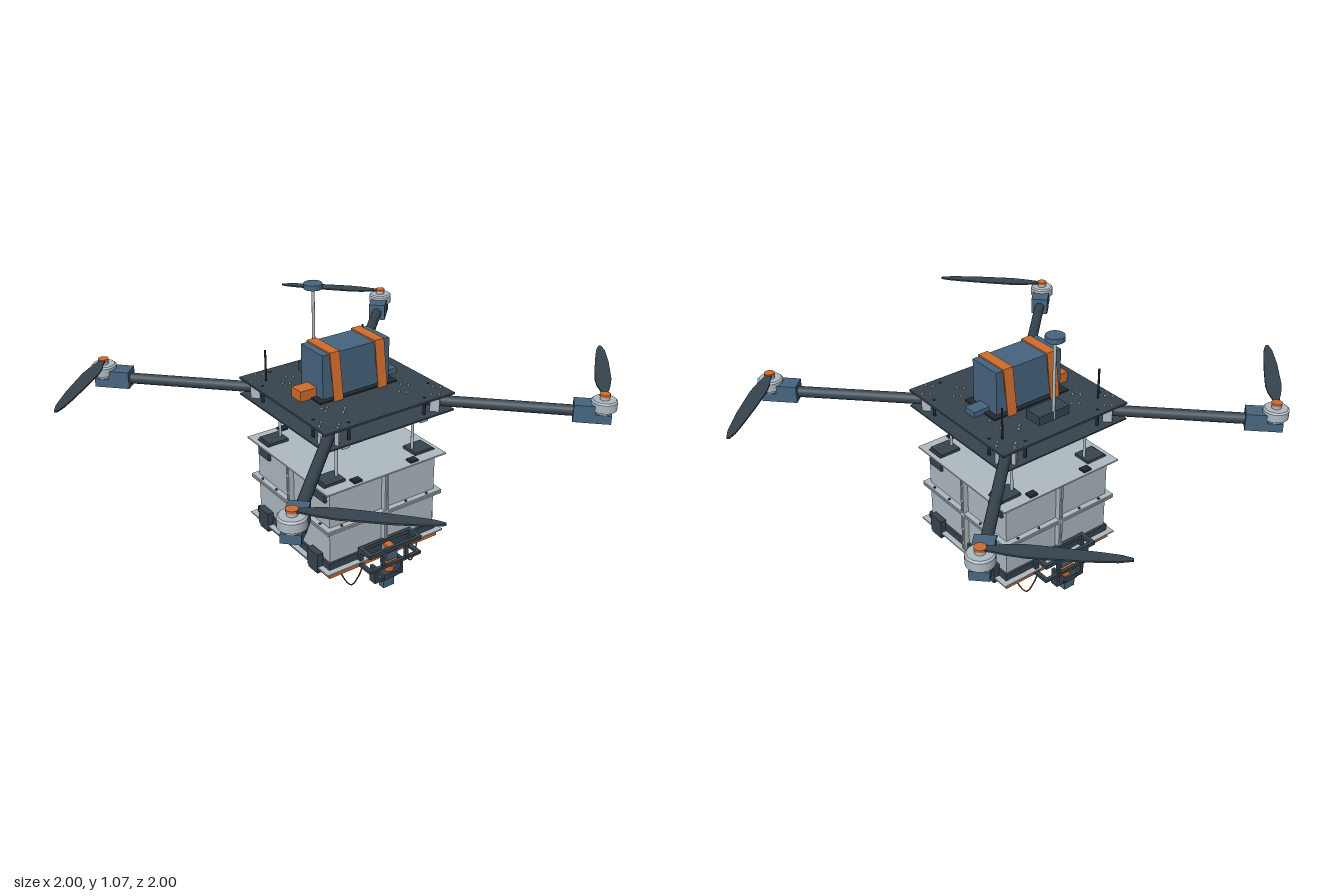
import * as THREE from 'three';

const mat = (name, color, side = THREE.FrontSide) => {
  const m = new THREE.MeshStandardMaterial({ color, side });
  m.name = name;
  return m;
};
const DARK = mat('carbon', 0x37444e);
const BLUE = mat('slateBlue', 0x46657f);
const ORANGE = mat('orange', 0xd06c2c);
const GREY = mat('lightGrey', 0xafbbc2);
const WIRE = mat('copperWire', 0x8a4a2c);
const BLACK = mat('black', 0x222a31);

export function createModel() {
  const root = new THREE.Group();
  root.name = 'deliveryDrone';
  const ends = [-1, 1];

  const add = (name, geo, m, x, y, z, parent = root) => {
    const mesh = new THREE.Mesh(geo, m);
    mesh.name = name;
    mesh.position.set(x, y, z);
    parent.add(mesh);
    return mesh;
  };
  const box = (name, m, w, h, d, x, y, z, parent) =>
    add(name, new THREE.BoxGeometry(w, h, d), m, x, y, z, parent);
  const cyl = (name, m, r, h, x, y, z, parent, sides = 20) =>
    add(name, new THREE.CylinderGeometry(r, r, h, sides), m, x, y, z, parent);
  const group = (name) => {
    const g = new THREE.Group();
    g.name = name;
    root.add(g);
    return g;
  };

  // Upper and lower centre plates
  box('topPlate', DARK, 0.58, 0.008, 0.58, 0, 0.731, 0);
  box('bottomPlate', DARK, 0.58, 0.006, 0.58, 0, 0.664, 0);

  // Propeller blade outline, root at the origin and tip along +x
  const outline = [[-0.012, 0.012], [0.03, 0.014], [0.08, 0.027], [0.13, 0.032], [0.24, 0.028],
    [0.36, 0.02], [0.42, 0.014], [0.455, 0.004], [0.455, -0.006], [0.41, -0.018],
    [0.3, -0.027], [0.14, -0.029], [0.08, -0.022], [0.03, -0.012], [-0.012, -0.012]];
  const bladeGeo = new THREE.ExtrudeGeometry(
    new THREE.Shape(outline.map(([x, y]) => new THREE.Vector2(x, y))),
    { depth: 0.006, bevelEnabled: false });
  bladeGeo.rotateX(-Math.PI / 2);

  // Motor bell profile
  const motorGeo = new THREE.LatheGeometry(
    [[0, 0], [0.032, 0], [0.034, 0.012], [0.048, 0.014], [0.048, 0.046], [0.042, 0.052], [0.018, 0.052],
      [0.018, 0.064], [0, 0.064]].flatMap(([r, y]) => {
      const p = new THREE.Vector2(r, y);
      return [p, p.clone()];
    }), 28);

  // Four arms; each is laid along its own +x and turned to a corner
  for (let i = 0; i < 4; i++) {
    const arm = group('arm');
    arm.rotation.y = Math.PI / 4 + i * Math.PI / 2;
    const tube = cyl('armTube', DARK, 0.021, 0.69, 0.545, 0.697, 0, arm);
    tube.rotation.z = Math.PI / 2;
    for (const r of [0.22, 0.34]) {
      for (const s of ends) {
        box('armClamp', GREY, 0.035, 0.058, 0.016, r, 0.697, s * 0.03, arm);
        for (const dx of [-0.014, 0.014])
          cyl('plateScrew', GREY, 0.005, 0.084, r + dx, 0.699, s * 0.032, arm, 8);
      }
    }
    box('motorClamp', BLUE, 0.08, 0.068, 0.07, 0.882, 0.7, 0, arm);
    box('motorBase', BLUE, 0.08, 0.034, 0.066, 0.94, 0.682, 0, arm);
    add('motor', motorGeo, GREY, 0.95, 0.699, 0, arm);
    // The blades sit square to the arm, all swept the same way for opposite corners
    const blade = add('propeller', bladeGeo, DARK, 0.95, 0.763, 0, arm);
    blade.rotation.y = -Math.PI / 2;
    cyl('propellerCap', ORANGE, 0.02, 0.009, 0.95, 0.768, 0, arm);
    // Blade directions alternate around the frame
    if (i === 0 || i === 2) blade.rotation.y = Math.PI / 2;
    if (i === 3) blade.rotation.y = Math.PI / 2;
    if (i === 1) blade.rotation.y = Math.PI / 2;
  }

  // Spacers and screws along the plate edges
  for (const sx of ends) for (const sz of ends) {
    cyl('spacer', BLACK, 0.006, 0.076, sx * 0.26, 0.699, sz * 0.17, root, 8);
    cyl('spacer', BLACK, 0.006, 0.076, sx * 0.17, 0.699, sz * 0.26, root, 8);
    for (const z of [0.08, 0.12])
      cyl('edgeScrew', GREY, 0.005, 0.006, sx * 0.19, 0.736, sz * z, root, 8);
  }

  // Battery on its tray, held by two flared straps
  box('batteryTray', BLACK, 0.35, 0.006, 0.18, 0, 0.738, 0);
  box('battery', BLUE, 0.3, 0.176, 0.14, 0, 0.825, 0);
  const strap = new THREE.Shape();
  [[-0.1, 0.736], [-0.075, 0.919], [0.075, 0.919], [0.1, 0.736],
    [0.096, 0.736], [0.071, 0.913], [-0.071, 0.913], [-0.096, 0.736]]
    .forEach(([z, y], i) => (i ? strap.lineTo(z, y) : strap.moveTo(z, y)));
  const strapGeo = new THREE.ExtrudeGeometry(strap, { depth: 0.042, bevelEnabled: false });
  strapGeo.translate(0, 0, -0.021).rotateY(Math.PI / 2);
  for (const s of ends) add('batteryStrap', strapGeo, ORANGE, s * 0.1, 0, 0);

  // Electronics around the battery
  box('receiver', ORANGE, 0.07, 0.04, 0.06, -0.185, 0.755, 0);
  box('powerModule', BLUE, 0.07, 0.022, 0.055, 0.185, 0.746, 0);
  box('flightController', DARK, 0.14, 0.036, 0.075, 0, 0.752, -0.178);
  cyl('mast', GREY, 0.006, 0.33, 0, 0.898, -0.21, root, 12);
  cyl('mastPuck', BLUE, 0.036, 0.02, 0, 1.064, -0.21);
  for (const s of ends) cyl('antenna', BLACK, 0.004, 0.125, s * 0.225, 0.797, -0.2, root, 8);

  // Rails under the frame, with clamps and hanger rods down to the crate
  for (const sx of ends) {
    box('rail', GREY, 0.034, 0.026, 0.51, sx * 0.178, 0.643, 0);
    for (const sz of ends) {
      box('railClamp', DARK, 0.068, 0.046, 0.046, sx * 0.178, 0.642, sz * 0.1);
      cyl('hangerRod', GREY, 0.006, 0.18, sx * 0.176, 0.56, sz * 0.19, root, 10);
    }
  }

  // Crate with flanged seams
  box('crateBody', GREY, 0.49, 0.34, 0.49, 0, 0.304, 0);
  box('topFlange', GREY, 0.55, 0.006, 0.55, 0, 0.476, 0);
  for (const dy of [-0.005, 0.005]) box('middleFlange', GREY, 0.534, 0.007, 0.534, 0, 0.307 + dy, 0);
  box('bottomFlange', GREY, 0.55, 0.006, 0.55, 0, 0.132, 0);
  box('bottomBand', DARK, 0.508, 0.028, 0.508, 0, 0.151, 0);
  for (const s of [-0.005, 0.005]) {
    box('sideSeam', GREY, 0.534, 0.34, 0.007, 0, 0.304, s);
    box('frontSeam', GREY, 0.007, 0.34, 0.534, s, 0.304, 0);
  }
  for (const s of ends) for (const p of [-0.2, -0.1, 0.1, 0.2]) {
    cyl('flangeBolt', DARK, 0.005, 0.026, p, 0.307, s * 0.257, root, 8);
    cyl('flangeBolt', DARK, 0.005, 0.026, s * 0.257, 0.307, p, root, 8);
  }

  // Corner brackets, door hinges and lid catches
  for (const sx of ends) for (const sz of ends) {
    box('hangerFoot', DARK, 0.085, 0.012, 0.076, sx * 0.205, 0.484, sz * 0.19);
    box('hangerPlate', DARK, 0.012, 0.066, 0.076, sx * 0.25, 0.45, sz * 0.19);
    box('hingeUpper', DARK, 0.026, 0.075, 0.07, sx * 0.264, 0.152, sz * 0.175);
    box('hingeLower', DARK, 0.05, 0.012, 0.06, sx * 0.25, 0.11, sz * 0.175);
    box('lidCatch', BLACK, 0.036, 0.01, 0.03, sx * 0.13, 0.482, sz * 0.25);
  }

  // Two drop doors with raised rims
  for (const s of ends) {
    const door = group('dropDoor');
    door.position.set(s * 0.131, 0.12, 0);
    box('doorPanel', ORANGE, 0.252, 0.014, 0.52, 0, 0, 0, door);
    for (const e of ends) {
      box('doorRimSide', ORANGE, 0.014, 0.01, 0.52, e * 0.119, -0.011, 0, door);
      box('doorRimEnd', ORANGE, 0.224, 0.01, 0.014, 0, -0.011, e * 0.253, door);
    }
    for (const x of [0.05, 0.15]) {
      box('doorLatch', BLACK, 0.022, 0.02, 0.06, s * (x - 0.1), -0.014, 0, door);
      box('latchPad', BLACK, 0.045, 0.008, 0.026, s * (x - 0.1), -0.01, 0, door);
    }
  }

  // Release unit and camera, at the front and mirrored at the back
  for (const s of ends) {
    const unit = group('releaseUnit');
    const part = (name, m, w, h, d, x, y, z) => box(name, m, w, h, d, x, y, s * z, unit);
    for (const z of [0.262, 0.324]) part('frameTopBar', DARK, 0.246, 0.016, 0.014, 0, 0.182, z);
    for (const x of [-0.115, 0.115]) {
      part('frameSideBar', DARK, 0.016, 0.016, 0.07, x, 0.182, 0.293);
      part('framePost', DARK, 0.016, 0.075, 0.014, x, 0.146, 0.262);
      part('frameFoot', DARK, 0.016, 0.012, 0.07, x, 0.114, 0.293);
    }
    part('frameLowerBar', DARK, 0.246, 0.012, 0.014, 0, 0.114, 0.324);
    for (const x of [-0.055, 0.055]) part('frameWeb', DARK, 0.014, 0.07, 0.012, x, 0.148, 0.322);
    part('servo', BLUE, 0.05, 0.034, 0.035, 0, 0.135, 0.29);
    part('servoHorn', ORANGE, 0.03, 0.012, 0.05, 0, 0.17, 0.293);
    cyl('gimbalDisc', ORANGE, 0.034, 0.01, -0.005, 0.107, s * 0.295, unit);
    cyl('gimbalHub', ORANGE, 0.02, 0.03, -0.005, 0.085, s * 0.295, unit);
    for (const x of [-0.077, 0.044]) part('gimbalArm', DARK, 0.014, 0.07, 0.034, x, 0.073, 0.295);
    part('gimbalBase', DARK, 0.134, 0.014, 0.034, -0.016, 0.045, 0.295);
    part('gimbalYoke', DARK, 0.06, 0.024, 0.044, -0.016, 0.055, 0.298);
    part('camera', BLUE, 0.05, 0.045, 0.03, -0.016, 0.0225, 0.295);
    // Release cables hanging in loops
    for (const x of ends) {
      const path = new THREE.CatmullRomCurve3([[0.19, 0.115, 0.225], [0.175, 0.06, 0.235],
        [0.145, 0.022, 0.245], [0.115, 0.055, 0.25], [0.1, 0.115, 0.26]]
        .map(([a, y, z]) => new THREE.Vector3(x * a, y, s * z)));
      add('releaseCable', new THREE.TubeGeometry(path, 24, 0.0028, 6), WIRE, 0, 0, 0, unit);
    }
  }
  return root;
}
